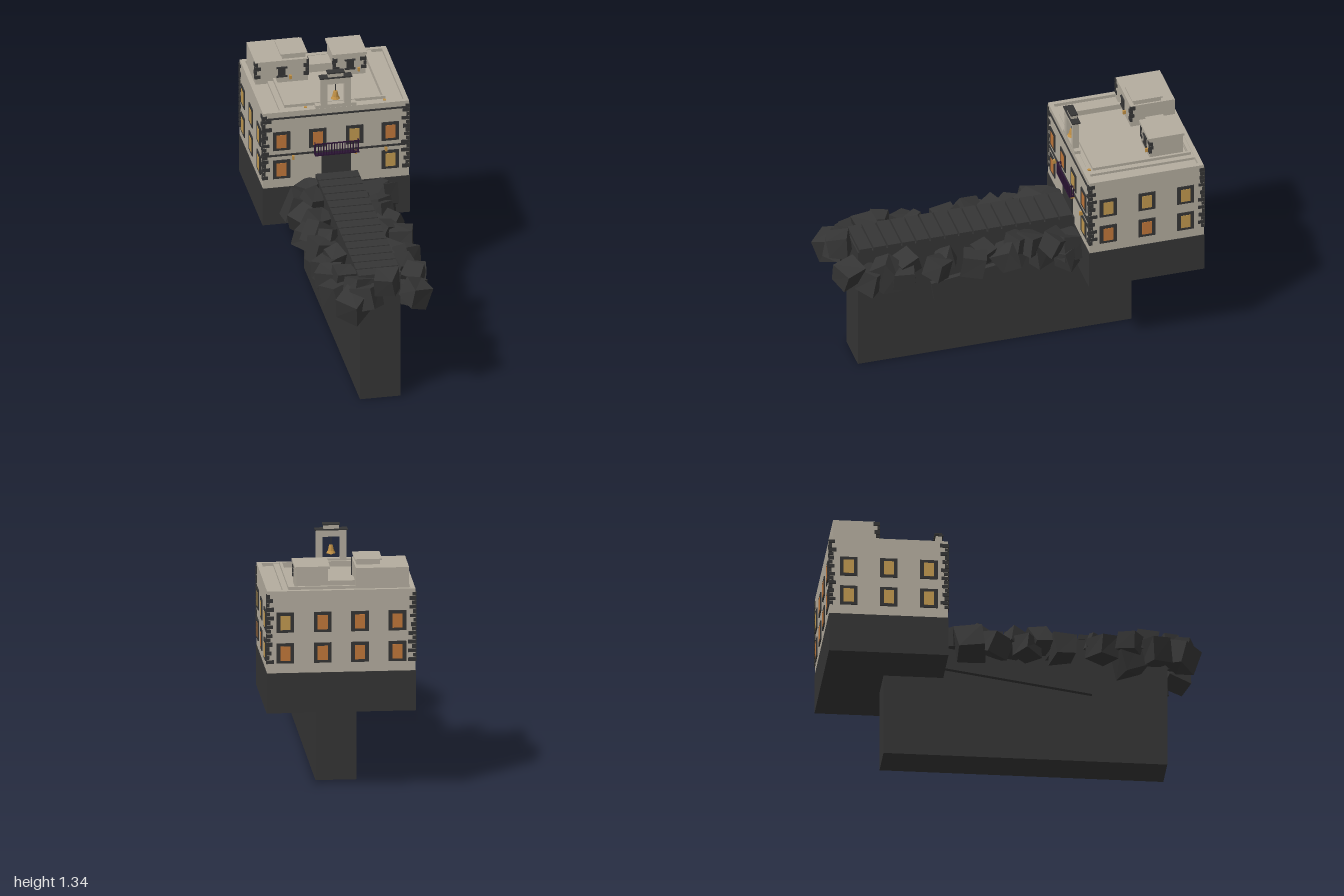
import * as THREE from 'three';

const flat = (name, color) => {
  const m = new THREE.MeshStandardMaterial({ color, flatShading: true });
  m.name = name;
  return m;
};

export function createModel() {
  const model = new THREE.Group();
  model.name = 'cliffHouse';
  const wall = flat('plaster', 0xb3ac9e), stone = flat('darkStone', 0x353535);
  const orange = flat('orangeGlass', 0xc0773a), amber = flat('amberGlass', 0xc0984f);
  const iron = flat('purpleIron', 0x2b1434), gold = flat('gold', 0xc09045);

  let seed = 11;
  const rnd = () => (seed = (seed * 16807) % 2147483647) / 2147483647;
  const add = (name, geo, mat, parent = model) => {
    const m = new THREE.Mesh(geo, mat);
    m.name = name;
    parent.add(m);
    return m;
  };
  // box given by its min and max on each axis
  const box = (name, mat, x0, x1, y0, y1, z0, z1, parent = model) => {
    const m = add(name, new THREE.BoxGeometry(x1 - x0, y1 - y0, z1 - z0), mat, parent);
    m.position.set((x0 + x1) / 2, (y0 + y1) / 2, (z0 + z1) / 2);
    return m;
  };
  // rectangular border of four low walls
  const border = (name, mat, x0, x1, y0, y1, z0, z1, t) => {
    box(name, mat, x0, x1, y0, y1, z1 - t, z1);
    box(name, mat, x0, x1, y0, y1, z0, z0 + t);
    box(name, mat, x0, x0 + t, y0, y1, z0 + t, z1 - t);
    box(name, mat, x1 - t, x1, y0, y1, z0 + t, z1 - t);
  };

  // pier, foundation and main house
  box('pier', stone, -0.11, 0.11, 0, 0.72, -0.67, 0.85);
  box('foundation', stone, -0.4, 0.4, 0.455, 0.675, -0.99, -0.35);
  box('houseWalls', wall, -0.397, 0.397, 0.675, 1.108, -0.987, -0.353);
  border('parapet', wall, -0.397, 0.397, 1.108, 1.125, -0.987, -0.353, 0.025);
  border('innerParapet', wall, -0.27, 0.28, 1.108, 1.138, -0.95, -0.405, 0.014);
  border('innerStep', wall, -0.3, 0.31, 1.108, 1.122, -0.965, -0.38, 0.03);

  // front string courses
  box('upperBand', stone, -0.385, 0.397, 1.085, 1.094, -0.36, -0.347);
  box('lowerBand', stone, -0.397, 0.397, 0.863, 0.873, -0.36, -0.347);

  // planks of the bridge
  for (let i = 0; i < 15; i++) {
    const z = 0.843 - i * 0.0795;
    box('plank', stone, -0.115, 0.115, 0.715, 0.741, z - 0.071, z);
  }

  // sloping side beams
  for (const s of [-1, 1]) {
    const beam = add('sideBeam', new THREE.BoxGeometry(0.027, 0.118, 0.84), stone);
    beam.position.set(s * 0.159, 0.487, 0.035);
    beam.rotation.x = 0.146;
  }

  // windows, placed on each wall; u runs to the viewer's right
  const face = (name, x, z, angle) => {
    const g = new THREE.Group();
    g.name = name;
    g.position.set(x, 0, z);
    g.rotation.y = angle;
    model.add(g);
    return g;
  };
  const windowRow = (parent, y, list) => list.forEach(([u, glass]) => {
    box('windowFrame', stone, u - 0.047, u + 0.047, y - 0.055, y + 0.055, -0.004, 0.006, parent);
    box('windowGlass', glass, u - 0.027, u + 0.027, y - 0.04, y + 0.038, 0.004, 0.008, parent);
  });
  const high = 0.953, low = 0.784;
  const front = face('frontWindows', 0, -0.353, 0);
  windowRow(front, high, [[-0.297, orange], [-0.1, orange], [0.1, amber], [0.295, orange]]);
  windowRow(front, low, [[-0.297, orange], [0.295, amber]]);
  const plus = face('leftWindows', 0.397, -0.67, Math.PI / 2);
  windowRow(plus, high, [[-0.215, amber], [0, amber], [0.215, amber]]);
  windowRow(plus, low, [[-0.215, orange], [0, orange], [0.215, amber]]);
  const minus = face('rightWindows', -0.397, -0.67, -Math.PI / 2);
  for (const y of [high, low]) windowRow(minus, y, [[-0.215, amber], [0, amber], [0.215, amber]]);
  const back = face('backWindows', 0, -0.987, Math.PI);
  windowRow(back, high, [[-0.3, amber], [-0.1, orange], [0.1, orange], [0.3, orange]]);
  windowRow(back, low, [[-0.3, orange], [-0.1, orange], [0.1, orange], [0.3, orange]]);

  // irregular corner stones
  const quoins = (cx, cz, sx, sz, y0, y1, size, step) => {
    for (let y = y0, i = 0; y < y1; y += step, i++) {
      const a = size * (i % 2 ? 0.4 + rnd() * 0.3 : 0.75 + rnd() * 0.5);
      const b = size * (i % 2 ? 0.75 + rnd() * 0.4 : 0.4 + rnd() * 0.3);
      const h = step * (0.7 + rnd() * 0.25);
      const q = add('cornerStone', new THREE.BoxGeometry(a, h, b), stone);
      q.position.set(cx + sx * (0.005 - a / 2), y + step / 2, cz + sz * (0.005 - b / 2));
    }
  };
  for (const sx of [-1, 1]) {
    quoins(sx * 0.397, -0.353, sx, 1, 0.725, 1.095, 0.042, 0.024);
    quoins(sx * 0.397, -0.987, sx, -1, 0.725, 1.095, 0.036, 0.024);
  }

  // door and balcony
  box('door', stone, -0.08, 0.08, 0.72, 0.862, -0.37, -0.342);
  box('balconyFloor', iron, -0.12, 0.12, 0.857, 0.864, -0.355, -0.32);
  box('balconyRail', iron, -0.12, 0.12, 0.925, 0.931, -0.325, -0.319);
  for (let i = 0; i <= 16; i++) {
    const x = -0.117 + i * 0.0146;
    box('baluster', iron, x - 0.0025, x + 0.0025, 0.86, 0.928, -0.324, -0.32);
  }
  for (const x of [-0.118, 0.118]) {
    box('balconySideRail', iron, x - 0.002, x + 0.002, 0.925, 0.931, -0.353, -0.32);
    for (const z of [-0.345, -0.333]) box('baluster', iron, x - 0.002, x + 0.002, 0.86, 0.928, z - 0.002, z + 0.002);
  }

  // bell gable with an opening
  const gable = new THREE.Shape([[-0.11, 1.108], [0.11, 1.108], [0.11, 1.143], [0.081, 1.143], [0.081, 1.302],
    [-0.081, 1.302], [-0.081, 1.143], [-0.11, 1.143]].map(p => new THREE.Vector2(...p)));
  gable.holes.push(new THREE.Path([[-0.046, 1.145], [-0.046, 1.265], [0.046, 1.265], [0.046, 1.145]]
    .map(p => new THREE.Vector2(...p))));
  add('bellGable', new THREE.ExtrudeGeometry(gable, { depth: 0.033, bevelEnabled: false }), wall).position.z = -0.387;
  box('gableLedge', stone, -0.088, 0.088, 1.301, 1.308, -0.393, -0.347);
  box('gableCrown', wall, -0.042, 0.042, 1.308, 1.33, -0.386, -0.354);
  box('crownCap', stone, -0.047, 0.047, 1.329, 1.336, -0.39, -0.35);
  const bellProfile = [[0.001, 1.218], [0.01, 1.216], [0.014, 1.2], [0.017, 1.185], [0.025, 1.172], [0.001, 1.172]];
  add('bell', new THREE.LatheGeometry(bellProfile.reverse().map(p => new THREE.Vector2(...p)), 10), gold).position.z = -0.37;
  box('bellHanger', stone, -0.003, 0.003, 1.215, 1.266, -0.373, -0.367);
  box('bellClapper', gold, -0.005, 0.005, 1.163, 1.174, -0.375, -0.365);

  // rooms on the roof
  const room = (x0, x1, z0, z1, top, wx) => {
    box('roofRoom', wall, x0, x1, 1.105, top, z0, z1);
    box('roofRoomWindow', stone, wx - 0.02, wx + 0.02, 1.147, 1.195, z1 - 0.002, z1 + 0.006);
    for (const y of [1.146, 1.198]) box('roofRoomSill', stone, wx - 0.029, wx + 0.029, y - 0.004, y + 0.004, z1, z1 + 0.009);
    quoins(x0, z1, -1, 1, 1.14, top - 0.02, 0.03, 0.024);
    quoins(x1, z1, 1, 1, 1.14, top - 0.02, 0.03, 0.024);
    box('roofLamp', gold, wx + 0.04, wx + 0.052, 1.13, 1.15, z1, z1 + 0.016);
  };
  room(-0.365, -0.08, -0.965, -0.72, 1.238, -0.222);
  box('raisedRoof', wall, -0.215, -0.09, 1.238, 1.264, -0.89, -0.74);
  box('raisedRoofCap', wall, -0.226, -0.08, 1.262, 1.27, -0.9, -0.73);
  room(0.065, 0.235, -0.92, -0.735, 1.228, 0.152);
  box('smallRoomCap', wall, 0.055, 0.243, 1.226, 1.24, -0.925, -0.726);
  box('roomLink', wall, -0.08, 0.065, 1.105, 1.155, -0.9, -0.8);
  for (const x of [-0.16, 0.27]) box('roofLantern', gold, x - 0.007, x + 0.007, 1.108, 1.128, -0.395, -0.378);
  for (const x of [-0.235, 0.105, 0.27]) box('wallLantern', gold, x - 0.006, x + 0.006, 0.842, 0.864, -0.352, -0.332);

  // tumbled boulders along the bridge: x, y, z, size
  const boulders = [
    [0.2, 0.62, -0.28, 0.13], [0.23, 0.66, -0.2, 0.11], [0.17, 0.65, -0.08, 0.11], [0.24, 0.57, -0.27, 0.1],
    [0.2, 0.61, 0.04, 0.13], [0.17, 0.66, -0.01, 0.1], [0.17, 0.63, 0.18, 0.1], [0.235, 0.62, 0.24, 0.12],
    [0.16, 0.62, 0.38, 0.09], [0.225, 0.62, 0.44, 0.11], [0.17, 0.65, 0.6, 0.1], [0.23, 0.61, 0.63, 0.11],
    [0.18, 0.58, 0.71, 0.13], [0.2, 0.66, 0.72, 0.11], [0.18, 0.59, 0.8, 0.12], [0.18, 0.65, 0.925, 0.115],
    [0.015, 0.73, 0.93, 0.115], [-0.08, 0.65, 0.91, 0.12], [-0.165, 0.61, 0.925, 0.125], [-0.13, 0.69, 0.86, 0.1],
    [-0.22, 0.61, 0.78, 0.13], [-0.18, 0.67, 0.73, 0.11], [-0.24, 0.64, 0.63, 0.11], [-0.17, 0.57, 0.64, 0.13],
    [-0.22, 0.62, 0.49, 0.12], [-0.17, 0.66, 0.46, 0.09], [-0.2, 0.61, 0.28, 0.12], [-0.15, 0.65, 0.23, 0.1],
    [-0.2, 0.65, 0.15, 0.12], [-0.24, 0.59, 0.08, 0.11], [-0.17, 0.64, 0.02, 0.12], [-0.22, 0.61, -0.08, 0.12],
    [-0.17, 0.66, -0.17, 0.11], [-0.22, 0.61, -0.22, 0.14], [-0.16, 0.66, -0.3, 0.11], [0.15, 0.57, -0.14, 0.12],
  ];
  boulders.forEach(([x, y, z, size]) => {
    const geo = new THREE.BoxGeometry(size, size, size), p = geo.attributes.position;
    const shift = Array.from({ length: 24 }, () => (rnd() - 0.5) * size * 0.2);
    for (let i = 0; i < p.count; i++) {
      const c = 3 * ((p.getX(i) > 0) + 2 * (p.getY(i) > 0) + 4 * (p.getZ(i) > 0));
      p.setXYZ(i, p.getX(i) + shift[c], p.getY(i) + shift[c + 1], p.getZ(i) + shift[c + 2]);
    }
    geo.computeVertexNormals();
    const rock = add('boulder', geo, stone);
    rock.position.set(x, y, z);
    rock.rotation.set((rnd() - 0.5) * 0.9, rnd() * 1.5, (rnd() - 0.5) * 0.9);
  });

  return model;
}
